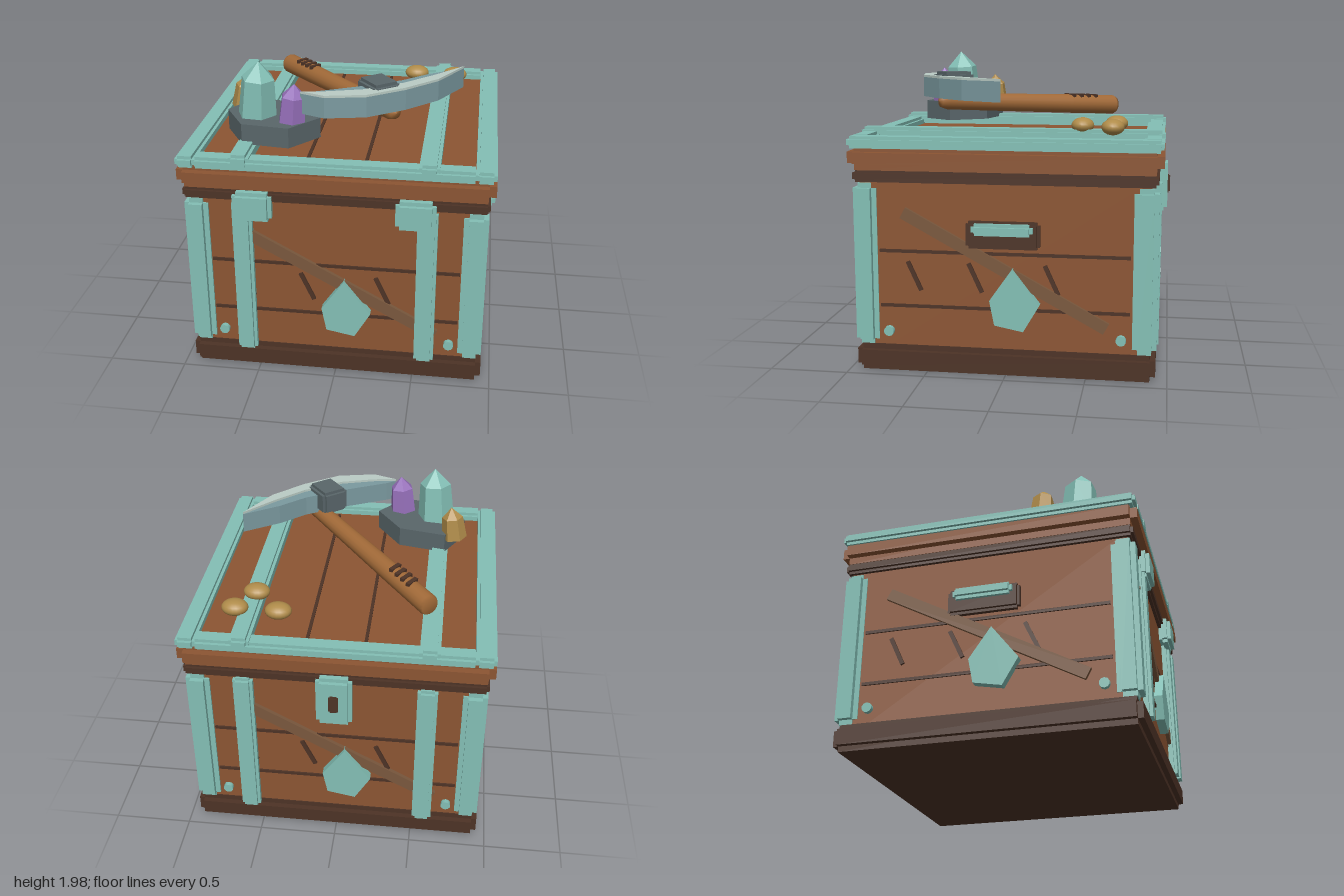
import * as THREE from 'three';
import { mergeGeometries } from 'three/addons/utils/BufferGeometryUtils.js';

const paint = (name, color) => {
  const m = new THREE.MeshStandardMaterial({ color });
  m.name = name;
  return m;
};

export function createModel() {
  const wood = paint('wood', 0x8c5533);
  const dark = paint('dark wood', 0x4d3326);
  const plank = paint('faded plank', 0x7a583d);
  const teal = paint('teal metal', 0x83bfb5);
  const stone = paint('stone', 0x59666a);
  const gold = paint('gold', 0xb08c4a);
  const purple = paint('purple crystal', 0x9670ba);
  const steel = paint('steel', 0x7b9aa0);
  const edge = paint('sharp edge', 0xbaccc5);
  const grip = paint('handle wood', 0xa26a38);

  const model = new THREE.Group();
  const chest = new THREE.Group();
  chest.name = 'chest';
  chest.position.z = 0.012;
  model.add(chest);

  const add = (parent, name, geo, mat, x = 0, y = 0, z = 0) => {
    const m = new THREE.Mesh(geo, mat);
    m.name = name;
    m.position.set(x, y, z);
    parent.add(m);
    return m;
  };
  const box = (w, h, d) => new THREE.BoxGeometry(w, h, d);
  // Box with stepped edges: three boxes, each reaching out along one axis
  const stepped = (w, h, d, b) => mergeGeometries([
    box(w, h - 2 * b, d - 2 * b), box(w - 2 * b, h, d - 2 * b), box(w - 2 * b, h - 2 * b, d),
  ]);
  const facet = (geo) => {
    const g = geo.index ? geo.toNonIndexed() : geo;
    g.computeVertexNormals();
    return g;
  };
  // Upright prism from a plan outline of [x, z] points
  const slab = (pts, height) => new THREE.ExtrudeGeometry(
    new THREE.Shape(pts.map(([x, z]) => new THREE.Vector2(x, -z))),
    { depth: height, bevelEnabled: false }).rotateX(-Math.PI / 2);

  // Body, base and lid
  add(chest, 'body', box(1.8, 1.2, 1.8), wood, 0, 0.65, 0);
  add(chest, 'base', stepped(1.88, 0.17, 1.88, 0.035), dark, 0, 0.085, 0);
  add(chest, 'rimTrim', stepped(1.88, 0.075, 1.88, 0.018), dark, 0, 1.245, 0);
  add(chest, 'lid', stepped(1.94, 0.16, 1.94, 0.045), wood, 0, 1.36, 0);
  for (const s of [-1, 1]) {
    add(chest, 'lidGroove', box(0.02, 0.01, 1.64), dark, s * 0.18, 1.442, 0);
    add(chest, 'lidSideFrame', stepped(0.125, 0.075, 1.93, 0.02), teal, s * 0.905, 1.455, 0);
    add(chest, 'lidEndFrame', stepped(1.72, 0.075, 0.125, 0.02), teal, 0, 1.455, s * 0.905);
    add(chest, 'lidStrap', stepped(0.125, 0.09, 1.94, 0.02), teal, s * 0.572, 1.475, 0);
  }

  // Corner posts and upright straps
  for (const sx of [-1, 1]) for (const sz of [-1, 1]) {
    add(chest, 'cornerPost', stepped(0.15, 1.03, 0.15, 0.032), teal, sx * 0.862, 0.685, sz * 0.87);
    add(chest, 'strap', stepped(0.125, 1.08, 0.07, 0.02), teal, sx * 0.572, 0.67, sz * 0.92);
  }

  // Worn planking repeated on each side
  const shardShape = new THREE.Shape(
    [[0.06, 0.69], [-0.08, 0.49], [-0.05, 0.335], [0.13, 0.3], [0.23, 0.47]]
      .map(([x, y]) => new THREE.Vector2(x, y)));
  for (let i = 0; i < 4; i++) {
    const side = new THREE.Group();
    side.name = 'sidePanel';
    side.rotation.y = i * Math.PI / 2;
    chest.add(side);
    for (const y of [0.425, 0.775]) add(side, 'plankGroove', box(1.56, 0.02, 0.02), dark, 0, y, 0.9);
    for (const x of [-0.56, -0.175, 0.3]) {
      add(side, 'scratch', box(0.026, 0.2, 0.025), dark, x, 0.62, 0.902).rotation.z = 0.43;
    }
    add(side, 'diagonalPlank', box(1.44, 0.075, 0.04), plank, 0.005, 0.675, 0.905).rotation.z = -0.5;
    add(side, 'shard', new THREE.ExtrudeGeometry(shardShape, { depth: 0.06, bevelEnabled: false }),
      teal, 0, 0, 0.895);
    for (const s of [-1, 1]) {
      const rivet = new THREE.CylinderGeometry(0.032, 0.032, 0.05, 10).rotateX(Math.PI / 2);
      add(side, 'rivet', rivet, teal, s * 0.728, 0.26, 0.905);
    }
  }

  // Side handles, hinges and lock
  for (const s of [-1, 1]) {
    add(chest, 'handlePlate', stepped(0.07, 0.17, 0.46, 0.018), dark, s * 0.91, 0.895, 0);
    add(chest, 'sideHandle', stepped(0.06, 0.075, 0.38, 0.02), teal, s * 0.955, 0.935, 0);
    add(chest, 'hinge', stepped(0.245, 0.19, 0.085, 0.025), teal, s * 0.5, 1.185, 0.945);
  }
  add(chest, 'lockPlate', stepped(0.225, 0.35, 0.085, 0.025), teal, 0, 1.1, -0.948);
  add(chest, 'keyhole', stepped(0.06, 0.12, 0.03, 0.008), dark, 0, 1.1, -0.992);

  // Crystal cluster on its rock
  add(model, 'crystalRock', slab([[-0.61, 0.265], [-0.3, 0.33], [-0.135, 0.57],
    [-0.3, 0.775], [-0.6, 0.74], [-0.74, 0.5]], 0.13), stone, 0, 1.5, 0);
  const crystal = (name, mat, x, y, z, r, shoulder, tip, turn, leanX, leanZ) => {
    const profile = [[0, 0], [r, 0], [r * 0.83, shoulder], [0, tip]]
      .map(([a, b]) => new THREE.Vector2(a, b));
    const geo = facet(new THREE.LatheGeometry(profile, 6).rotateY(turn));
    add(model, name, geo, mat, x, y, z).rotation.set(leanX, 0, leanZ);
  };
  crystal('tealCrystal', teal, -0.54, 1.6, 0.545, 0.128, 0.27, 0.38, 0.4, 0.05, -0.06);
  crystal('purpleCrystal', purple, -0.305, 1.58, 0.63, 0.095, 0.21, 0.29, 0.2, 0.03, -0.08);
  crystal('goldCrystal', gold, -0.675, 1.59, 0.325, 0.085, 0.15, 0.22, 0.5, 0.03, -0.14);

  // Gold nuggets
  for (const [x, z] of [[0.38, -0.645], [0.655, -0.635], [0.553, -0.44]]) {
    add(model, 'nugget', new THREE.SphereGeometry(1, 20, 12), gold, x, 1.542, z).scale.set(0.085, 0.05, 0.072);
  }

  // Pickaxe handle with grip bindings
  const haft = new THREE.Group();
  haft.name = 'pickaxeHandle';
  haft.position.set(-0.55, 1.595, -0.575);
  haft.lookAt(0.34, 1.67, 0.54);
  model.add(haft);
  const haftProfile = [[0, 0], [0.058, 0], [0.068, 0.02], [0.066, 0.4], [0.055, 1.36], [0.04, 1.41], [0, 1.425]]
    .map(([a, b]) => new THREE.Vector2(a, b));
  add(haft, 'shaft', new THREE.LatheGeometry(haftProfile, 16).rotateX(Math.PI / 2), grip);
  for (let i = 0; i < 4; i++) {
    add(haft, 'gripBinding', box(0.09, 0.03, 0.028), dark, 0, 0.057, 0.2 + i * 0.062).rotation.y = 0.3;
  }

  // Pickaxe head: curved blade, bright outer bevel and collar
  const outer = [[-0.24, 0.67], [-0.085, 0.73], [0.165, 0.68], [0.39, 0.52], [0.58, 0.33], [0.73, 0.055]];
  const inner = [[0.51, 0.2], [0.35, 0.345], [0.085, 0.5], [-0.18, 0.63]];
  const ridge = [[0.55, 0.255], [0.37, 0.43], [0.13, 0.585], [-0.09, 0.65]];
  add(model, 'blade', slab([...outer, ...inner], 0.13), steel, 0, 1.69, 0);
  add(model, 'bladeEdge', slab([...outer, ...ridge], 0.015), edge, 0, 1.82, 0);
  add(model, 'collar', stepped(0.19, 0.16, 0.22, 0.02), stone, 0.215, 1.78, 0.46).rotation.y = 0.67;

  return model;
}
